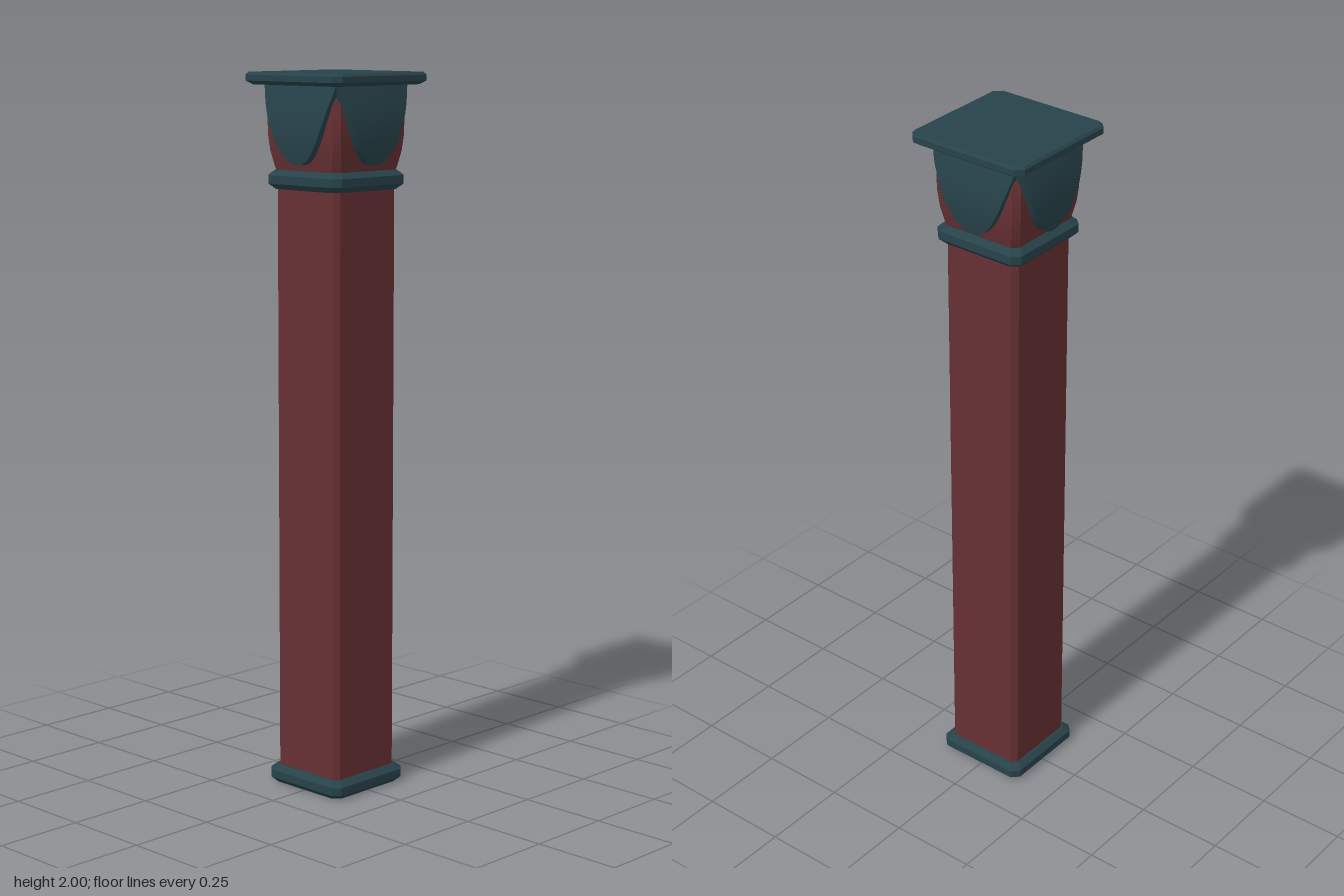
import * as THREE from 'three';
import { toCreasedNormals } from 'three/addons/utils/BufferGeometryUtils.js';

// Stack of chamfered squares; profile is a list of [half width, height]
function loftSquare(profile, chamfer, crease = 0.3) {
  const pos = [], index = [];
  for (const [h, y] of profile) {
    const k = h - Math.min(chamfer, h);
    for (const [x, z] of [[h, -k], [h, k], [k, h], [-k, h], [-h, k], [-h, -k], [-k, -h], [k, -h]]) pos.push(x, y, z);
  }
  for (let i = 0; i < profile.length - 1; i++) {
    for (let j = 0; j < 8; j++) {
      const a = i * 8 + j, b = i * 8 + (j + 1) % 8, d = a + 8, c = b + 8;
      index.push(a, d, c, a, c, b);
    }
  }
  const g = new THREE.BufferGeometry();
  g.setAttribute('position', new THREE.Float32BufferAttribute(pos, 3));
  g.setIndex(index);
  return toCreasedNormals(g, crease);
}

// Hollow square moulding with bevelled edges
function mouldingGeometry(y0, y1) {
  const i = 0.095, o = 0.14, b = 0.015;
  return loftSquare([[i, y0], [o - b, y0], [o, y0 + b], [o, y1 - b], [o - b, y1], [i, y1], [i, y0]], 0.02);
}

// Rounded shield leaf, bulging outward, with a pointed-round lower tip
function leafGeometry() {
  const g = new THREE.BoxGeometry(2, 1, 1, 10, 14, 1);
  const p = g.attributes.position;
  for (let n = 0; n < p.count; n++) {
    const u = p.getX(n), s = p.getY(n) + 0.5, t = s * s;
    const bulge = 0.143 + 0.017 * Math.sin(Math.PI * (0.12 + 0.88 * t));
    const z = bulge - (p.getZ(n) < 0 ? 0.022 : 0) - 0.006 * u * u * t;
    p.setXYZ(n, u * 0.136 * Math.pow(s, 0.9), 1.755 + 0.215 * t, z);
  }
  return toCreasedNormals(g, 0.6);
}

export function createModel() {
  const red = new THREE.MeshStandardMaterial({ color: 0x663033, side: THREE.DoubleSide });
  red.name = 'dark red';
  const teal = new THREE.MeshStandardMaterial({ color: 0x27424a });
  teal.name = 'dark teal';

  const model = new THREE.Group();
  model.name = 'column';
  const add = (name, geometry, material) => {
    const mesh = new THREE.Mesh(geometry, material);
    mesh.name = name;
    model.add(mesh);
    return mesh;
  };

  // Open square shaft between two mouldings
  add('shaft', loftSquare([[0.119, 0.02], [0.119, 1.71]], 0.014), red);
  add('baseMoulding', mouldingGeometry(0.003, 0.055), teal);
  add('neckMoulding', mouldingGeometry(1.685, 1.738), teal);

  // Swelling capital body
  add('capitalBody', loftSquare([
    [0.118, 1.72], [0.126, 1.75], [0.134, 1.79], [0.138, 1.83], [0.139, 1.87], [0.136, 1.92], [0.13, 1.975],
  ], 0.016), red);

  // One leaf on each face of the capital
  const leaf = leafGeometry();
  for (let i = 0; i < 4; i++) add('capitalLeaf' + (i + 1), leaf, teal).rotation.y = i * Math.PI / 2;

  // Top slab with bevelled rims
  add('topSlab', loftSquare([
    [0, 1.967], [0.168, 1.967], [0.183, 1.977], [0.183, 1.993], [0.177, 2], [0, 2],
  ], 0.02), teal);

  return model;
}
